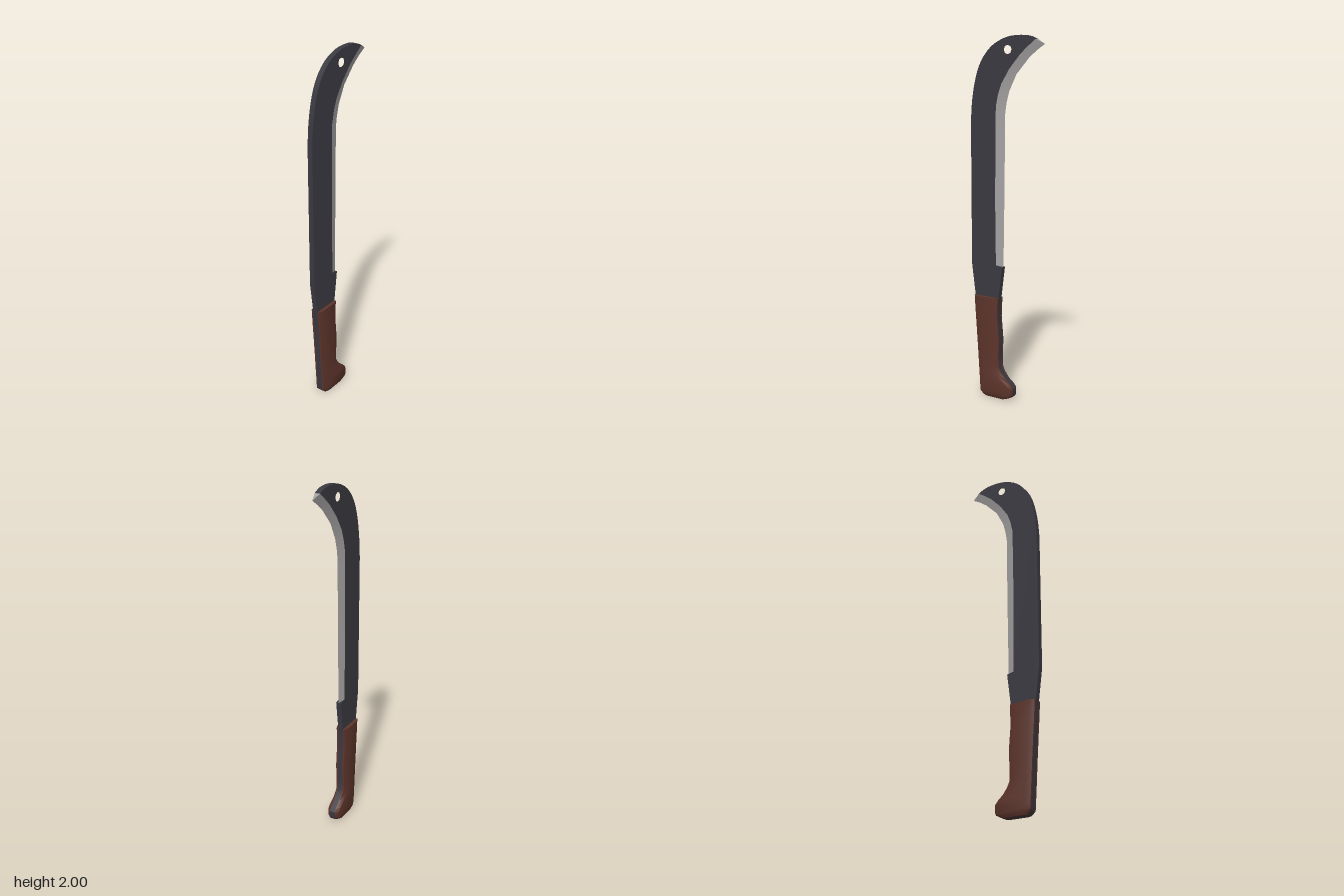
import * as THREE from 'three';
import { toCreasedNormals } from 'three/addons/utils/BufferGeometryUtils.js';

const HALF = 0.015; // half thickness of blade and tang

// Spine points [z, y] from the shoulder over the top to the hooked nose
const SPINE = [[0.225, 1.55], [0.215, 1.67], [0.19, 1.79], [0.15, 1.88], [0.085, 1.95],
  [0, 1.99], [-0.08, 2.0], [-0.135, 1.995], [-0.178, 1.978]];

// Sharpened edge: [inner z, inner y, outer z, outer y] from nose down to the notch
const EDGE = [[-0.178, 1.978, -0.225, 1.953], [-0.135, 1.945, -0.175, 1.92],
  [-0.088, 1.905, -0.13, 1.883], [-0.02, 1.828, -0.055, 1.8], [0.03, 1.75, -0.01, 1.71],
  [0.05, 1.695, 0.006, 1.65], [0.064, 1.63, 0.015, 1.59], [0.066, 1.5, 0.016, 1.45],
  [0.07, 1.13, 0.02, 1.13], [0.066, 0.765, 0.026, 0.757]];

// Handle rows: [y, front z, back z, flat half width, back edge half width]
const GRIP = [[0, 0.145, 0, 0.029, 0.017], [0.02, 0.165, -0.04, 0.034, 0.017],
  [0.035, 0.167, -0.047, 0.035, 0.017], [0.07, 0.169, -0.047, 0.035, 0.017],
  [0.09, 0.17, -0.03, 0.035, 0.018], [0.12, 0.172, 0.005, 0.035, 0.02],
  [0.15, 0.174, 0.03, 0.035, 0.022], [0.18, 0.176, 0.045, 0.035, 0.024],
  [0.25, 0.18, 0.046, 0.035, 0.025], [0.34, 0.186, 0.043, 0.035, 0.025],
  [0.4, 0.19, 0.048, 0.035, 0.025], [0.47, 0.195, 0.054, 0.035, 0.025],
  [0.58, 0.202, 0.049, 0.035, 0.025]];

function fromTriangles(tris, crease) {
  const g = new THREE.BufferGeometry();
  g.setAttribute('position', new THREE.Float32BufferAttribute(tris.flat(2), 3));
  g.computeVertexNormals();
  return toCreasedNormals(g, crease);
}

// Blade body and full tang in one outline, drawn with -z to the right
function bodyGeometry() {
  const shape = new THREE.Shape();
  const to = (z, y) => shape.lineTo(-z, y);
  shape.moveTo(-GRIP[0][1], 0);
  GRIP.slice(1).forEach(([y, f]) => to(f, y));
  to(0.224, 0.75);
  to(0.225, 0.78);
  to(...SPINE[0]);
  shape.splineThru(SPINE.slice(1).map(([z, y]) => new THREE.Vector2(-z, y)));
  EDGE.slice(1).forEach(([z, y]) => to(z, y));
  to(0.026, 0.757);
  [...GRIP].reverse().forEach(([y, , b]) => to(b, y));
  shape.closePath();

  const hole = new THREE.Path();
  hole.absarc(0.01, 1.927, 0.024, 0, Math.PI * 2, true);
  shape.holes.push(hole);

  const g = new THREE.ExtrudeGeometry(shape, { depth: HALF * 2, bevelEnabled: false, curveSegments: 4 });
  g.translate(0, 0, -HALF).rotateY(Math.PI / 2);
  return toCreasedNormals(g, 0.5);
}

// Wedge running from the full blade thickness to a keen edge
function edgeGeometry() {
  const tris = [];
  const inner = (i, s) => [s * HALF, EDGE[i][1], EDGE[i][0]];
  const outer = (i) => [0, EDGE[i][3], EDGE[i][2]];
  const last = EDGE.length - 1;
  for (let i = 0; i < last; i++) {
    tris.push([inner(i, 1), inner(i + 1, 1), outer(i)], [inner(i + 1, 1), outer(i + 1), outer(i)]);
    tris.push([inner(i, -1), outer(i), inner(i + 1, -1)], [inner(i + 1, -1), outer(i), outer(i + 1)]);
  }
  tris.push([inner(0, 1), outer(0), inner(0, -1)]);
  tris.push([inner(last, 1), inner(last, -1), outer(last)]);
  return fromTriangles(tris, 0.4);
}

// One chamfered wooden scale, lofted up the handle rows; side is +1 or -1
function scaleGeometry(side) {
  const rings = GRIP.map(([y, f, b, w, backW]) => {
    const backInset = backW < 0.02 ? 0.016 : 0.026;
    return [[HALF, f], [w - 0.01, f], [w, f - 0.026], [w, b + backInset], [backW, b], [HALF, b]]
      .map(([x, z]) => [side * x, y, z]);
  });
  const tris = [];
  const add = (a, b, c) => tris.push(side > 0 ? [a, b, c] : [a, c, b]);
  for (let i = 0; i < rings.length - 1; i++) {
    const lo = rings[i], hi = rings[i + 1];
    for (let j = 0; j < lo.length - 1; j++) {
      add(lo[j], lo[j + 1], hi[j]);
      add(lo[j + 1], hi[j + 1], hi[j]);
    }
  }
  const bottom = rings[0], top = rings[rings.length - 1];
  for (let j = 1; j < top.length - 1; j++) {
    add(top[0], top[j], top[j + 1]);
    add(bottom[0], bottom[j + 1], bottom[j]);
  }
  return fromTriangles(tris, 0.95);
}

export function createModel() {
  const darkSteel = new THREE.MeshStandardMaterial({ color: 0x3a3941 });
  darkSteel.name = 'dark steel';
  const brightSteel = new THREE.MeshStandardMaterial({ color: 0xa3a0a0 });
  brightSteel.name = 'bright steel';
  const wood = new THREE.MeshStandardMaterial({ color: 0x5c342b });
  wood.name = 'brown wood';

  const model = new THREE.Group();
  model.name = 'billhook';
  const add = (name, geometry, material) => {
    const mesh = new THREE.Mesh(geometry, material);
    mesh.name = name;
    model.add(mesh);
  };
  add('bladeAndTang', bodyGeometry(), darkSteel);
  add('sharpenedEdge', edgeGeometry(), brightSteel);
  add('leftHandleScale', scaleGeometry(1), wood);
  add('rightHandleScale', scaleGeometry(-1), wood);
  return model;
}
